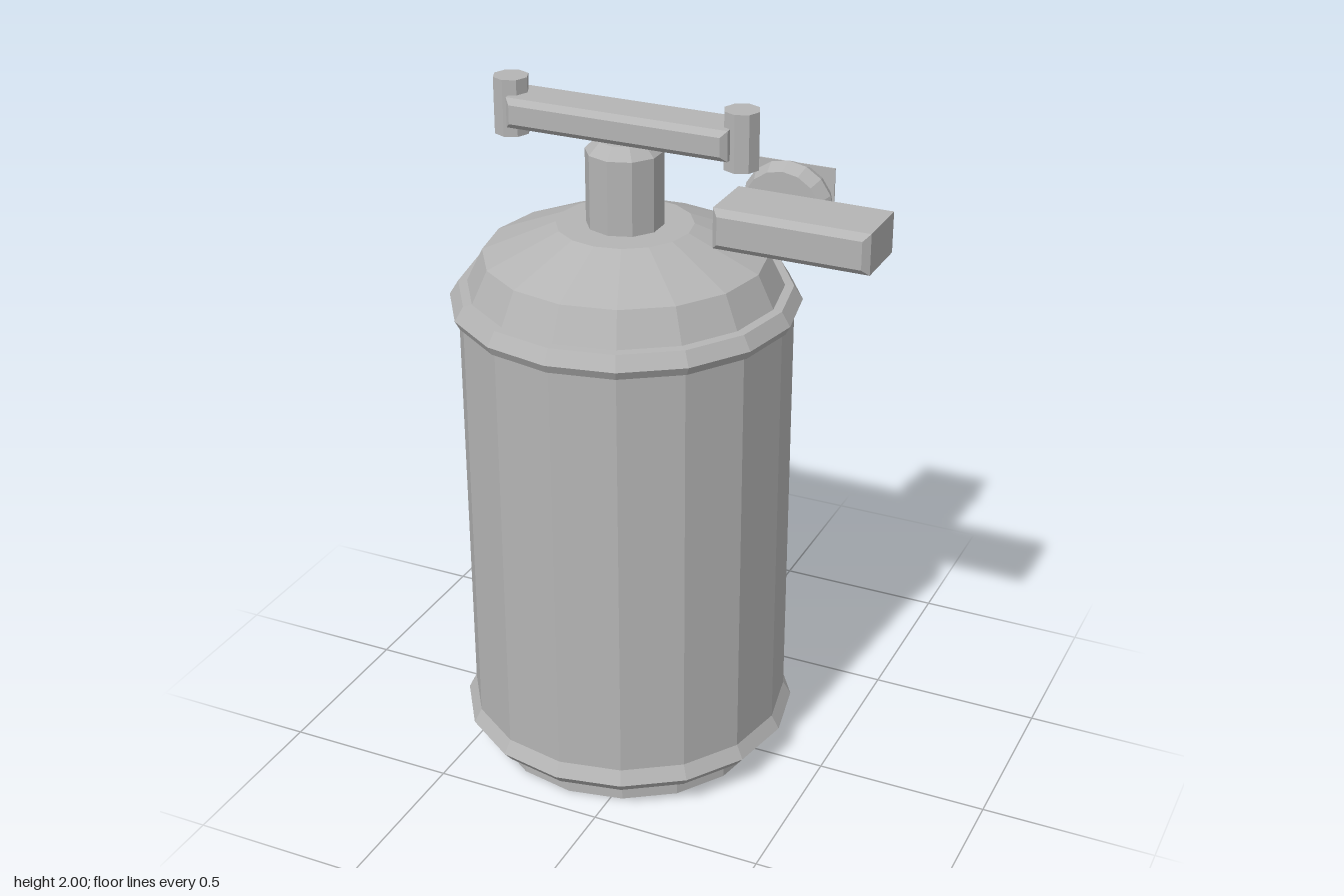
import * as THREE from 'three';

const CX = -0.125, CZ = 0.007; // axis of the bottle

const grey = new THREE.MeshStandardMaterial({ color: 0xb4b4b4, flatShading: true });
grey.name = 'plain grey';

function add(group, name, geometry, x, y, z) {
  const mesh = new THREE.Mesh(geometry, grey);
  mesh.name = name;
  mesh.position.set(x, y, z);
  group.add(mesh);
  return mesh;
}

function lathe(points, sides) {
  return new THREE.LatheGeometry(points.map(([r, y]) => new THREE.Vector2(r, y)), sides);
}

// Box with every edge cut by a bevel c, centred on the origin
function bevelBox(w, h, d, c) {
  const x = w / 2 - c, y = h / 2 - c, s = new THREE.Shape();
  s.moveTo(-x, -y);
  s.lineTo(x, -y);
  s.lineTo(x, y);
  s.lineTo(-x, y);
  s.closePath();
  const g = new THREE.ExtrudeGeometry(s, {
    depth: d - 2 * c, bevelEnabled: true, bevelThickness: c, bevelSize: c, bevelSegments: 1,
  });
  return g.translate(0, 0, c - d / 2);
}

export function createModel() {
  const model = new THREE.Group();
  model.name = 'canister';

  // Bottle: foot, lower rim, wall, upper rim and sloped shoulder
  add(model, 'bottle', lathe([
    [0, 0], [0.413, 0], [0.413, 0.05], [0.395, 0.065], [0.465, 0.07],
    [0.49, 0.1], [0.467, 0.14], [0.467, 1.385], [0.477, 1.385], [0.49, 1.41],
    [0.465, 1.45], [0.44, 1.452], [0.395, 1.545], [0.19, 1.63], [0, 1.63],
  ], 16), CX, 0, CZ);

  // Neck with chamfered top
  add(model, 'neck', lathe([
    [0, 1.62], [0.108, 1.62], [0.108, 1.84], [0.075, 1.872], [0, 1.872],
  ], 10), CX, 0, CZ);

  // Cross handle with an upright peg at each end
  add(model, 'crossHandle', bevelBox(0.65, 0.085, 0.15, 0.016), CX, 1.915, CZ);
  for (const side of [-1, 1]) {
    add(model, side < 0 ? 'rightPeg' : 'leftPeg',
      new THREE.CylinderGeometry(0.05, 0.05, 0.16, 8), CX + side * 0.34, 1.92, CZ);
  }

  // Detached lever block
  add(model, 'lever', bevelBox(0.44, 0.115, 0.207, 0.018), 0.392, 1.695, CZ);

  // Round gauge with its square back plate
  add(model, 'gauge', lathe([
    [0, -0.045], [0.122, -0.045], [0.14, 0], [0.122, 0.048], [0, 0.048],
  ], 16).rotateX(Math.PI / 2), 0.17, 1.56, -0.45);
  add(model, 'gaugePlate', new THREE.BoxGeometry(0.245, 0.24, 0.004), 0.172, 1.56, -0.495);

  return model;
}
